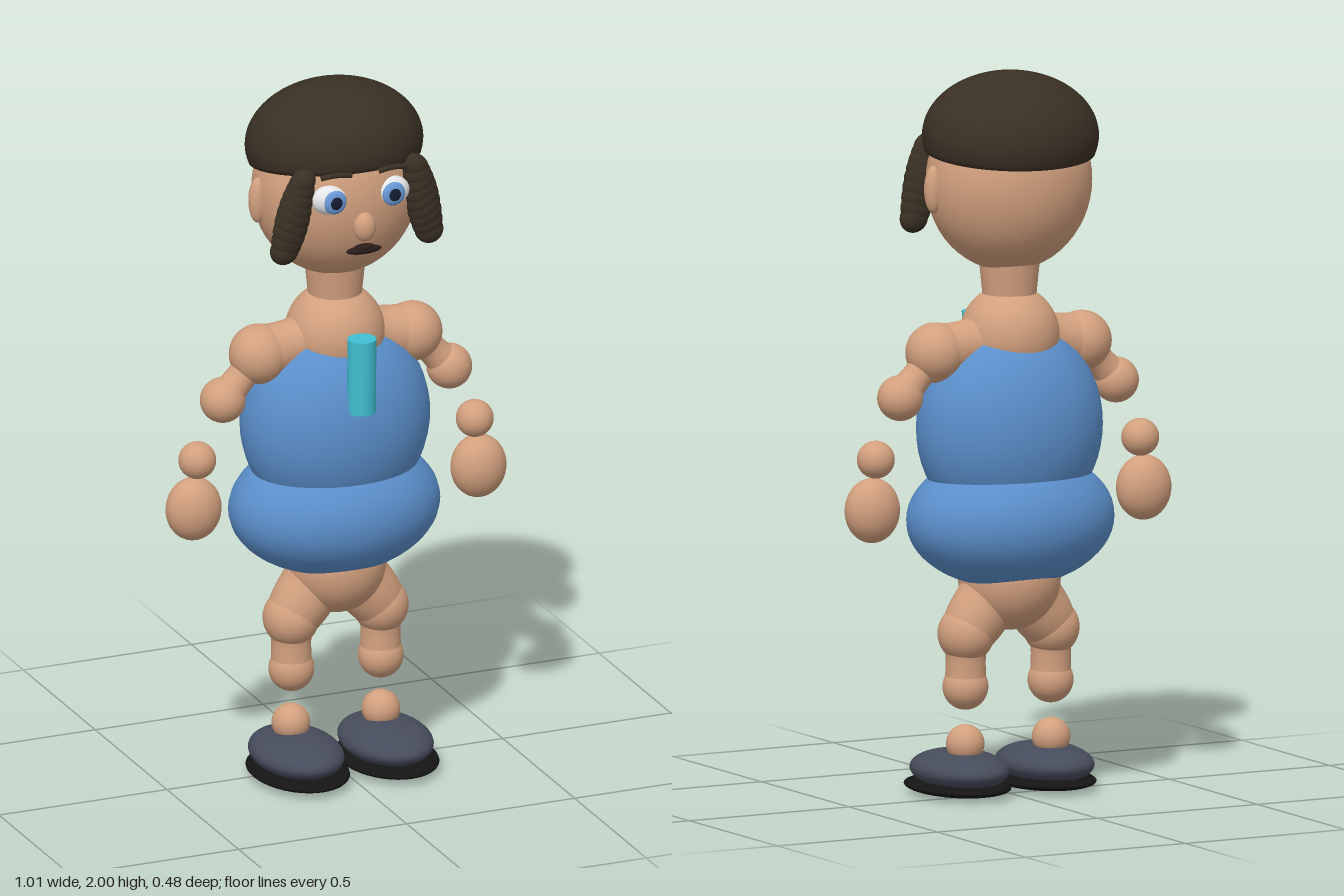
import * as THREE from 'three';

const mat = (name, color) => {
  const m = new THREE.MeshStandardMaterial({ color });
  m.name = name;
  return m;
};

export function createModel() {
  const skin = mat('skin', 0xd2a07e);
  const blue = mat('blue cloth', 0x5b8fcb);
  const hair = mat('dark hair', 0x3a3024);
  const shoe = mat('shoe grey', 0x474c5c);
  const sole = mat('sole black', 0x151515);
  const cyan = mat('turquoise', 0x40bfd2);
  const white = mat('eye white', 0xeef0f2);
  const iris = mat('iris blue', 0x6a9ad8);
  const pupil = mat('pupil', 0x141c30);
  const lip = mat('mouth dark', 0x2a1c18);

  const group = new THREE.Group();
  const ball = new THREE.SphereGeometry(1, 40, 28);
  const V = (x, y, z) => new THREE.Vector3(x, y, z);

  const add = (name, geo, material, pos = [0, 0, 0], scale = [1, 1, 1], rot = [0, 0, 0]) => {
    const m = new THREE.Mesh(geo, material);
    m.name = name;
    m.position.set(...pos);
    m.scale.set(...scale);
    m.rotation.set(...rot);
    group.add(m);
    return m;
  };
  const blob = (name, material, pos, scale, rot) => add(name, ball, material, pos, scale, rot);

  // Waisted link between two round joints: concave lathe from radius r0 over neck to r1
  const link = (name, a, r0, b, r1, neck) => {
    const d = a.distanceTo(b);
    const pts = [];
    for (let i = 0; i <= 12; i++) {
      const t = i / 12;
      const ends = t < 0.5 ? r0 : r1;
      const k = Math.abs(2 * t - 1);
      pts.push(new THREE.Vector2(neck + (ends - neck) * k * k, t * d));
    }
    const m = add(name, new THREE.LatheGeometry(pts, 28), skin, a.toArray());
    m.quaternion.setFromUnitVectors(V(0, 1, 0), b.clone().sub(a).normalize());
  };

  // Head and neck
  blob('head', skin, [0, 1.7, 0.003], [0.235, 0.25, 0.205]);
  add('neck', new THREE.CylinderGeometry(0.085, 0.073, 0.12, 32), skin, [0, 1.43, 0]);
  blob('nose', skin, [0, 1.647, 0.208], [0.032, 0.042, 0.027]);
  blob('mouth', lip, [0, 1.578, 0.203], [0.052, 0.012, 0.014]);
  blob('upperLip', lip, [0, 1.585, 0.204], [0.032, 0.011, 0.013]);

  // Hair cap: closed dome tilted down at the back
  const dome = [new THREE.Vector2(0, -0.26)];
  for (let i = 0; i <= 24; i++) {
    const t = Math.PI * (0.583 * (1 - i / 24));
    dome.push(new THREE.Vector2(Math.sin(t), Math.cos(t)));
  }
  add('hairCap', new THREE.LatheGeometry(dome, 56), hair, [0, 1.826, -0.006], [0.249, 0.175, 0.22], [-0.12, 0, 0]);

  // Torso, skirt and pelvis
  blob('chest', skin, [0, 1.27, 0], [0.138, 0.14, 0.138]);
  blob('top', blue, [0, 1.02, 0], [0.27, 0.29, 0.206]);
  blob('skirt', blue, [0, 0.765, -0.005], [0.3, 0.19, 0.233]);
  blob('pelvis', skin, [0, 0.6, 0], [0.14, 0.145, 0.145]);

  // Hanging neck piece
  add('neckpiece', new THREE.CylinderGeometry(0.04, 0.04, 0.215, 32), cyan, [0, 1.205, 0.187], [1, 1, 0.95], [0.02, 0, 0]);

  for (const [s, side] of [[1, 'left'], [-1, 'right']]) {
    const n = (part) => side + part;

    // Face details
    blob(n('Ear'), skin, [s * 0.233, 1.69, 0.008], [0.026, 0.066, 0.025]);
    blob(n('Eye'), white, [s * 0.092, 1.73, 0.178], [0.052, 0.042, 0.036]);
    blob(n('Iris'), iris, [s * 0.087, 1.73, 0.207], [0.033, 0.034, 0.012]);
    blob(n('Pupil'), pupil, [s * 0.087, 1.73, 0.215], [0.018, 0.019, 0.007]);
    const browPath = new THREE.QuadraticBezierCurve3(
      V(s * 0.04, 1.803, 0.208), V(s * 0.08, 1.815, 0.212), V(s * 0.128, 1.803, 0.2));
    add(n('Brow'), new THREE.TubeGeometry(browPath, 12, 0.008, 8), hair);

    // Side lock made of overlapping ridges
    for (let i = 0; i < 9; i++) {
      const t = i / 8;
      const w = 0.026 + 0.027 * Math.sin(Math.PI * Math.min(1, 0.1 + t * 0.72));
      blob(n('HairLock'), hair,
        [s * (0.168 + 0.047 * t), 1.785 - 0.195 * t, 0.165 - 0.013 * t],
        [w, 0.042, 0.029 + 0.007 * Math.sin(Math.PI * t)], [0, 0, s * 0.85]);
    }

    // Arm
    const shoulder = V(s * 0.228, 1.238, 0.005);
    const elbow = V(s * 0.337, 1.12, 0.008);
    blob(n('Shoulder'), skin, shoulder.toArray(), [0.083, 0.083, 0.083]);
    blob(n('Elbow'), skin, elbow.toArray(), [0.063, 0.063, 0.063]);
    link(n('Collar'), V(s * 0.04, 1.265, 0), 0.11, shoulder, 0.08, 0.07);
    link(n('UpperArm'), shoulder, 0.07, elbow, 0.055, 0.042);
    blob(n('Wrist'), skin, [s * 0.413, 0.955, 0.008], [0.052, 0.052, 0.052]);
    blob(n('Hand'), skin, [s * 0.424, 0.815, 0.008], [0.079, 0.09, 0.065]);

    // Leg
    const thigh = V(s * 0.133, 0.452, 0.005);
    const knee = V(s * 0.133, 0.305, 0.008);
    blob(n('Thigh'), skin, thigh.toArray(), [0.077, 0.08, 0.082]);
    blob(n('Knee'), skin, knee.toArray(), [0.063, 0.064, 0.063]);
    link(n('Hip'), V(s * 0.04, 0.58, 0), 0.1, thigh, 0.075, 0.085);
    link(n('Shin'), thigh, 0.07, knee, 0.058, 0.055);
    blob(n('Ankle'), skin, [s * 0.134, 0.147, 0.007], [0.053, 0.053, 0.053]);
    blob(n('Shoe'), shoe, [s * 0.133, 0.072, 0.042], [0.123, 0.055, 0.175]);
    blob(n('Sole'), sole, [s * 0.133, 0.025, 0.053], [0.134, 0.025, 0.186]);
  }
  return group;
}
